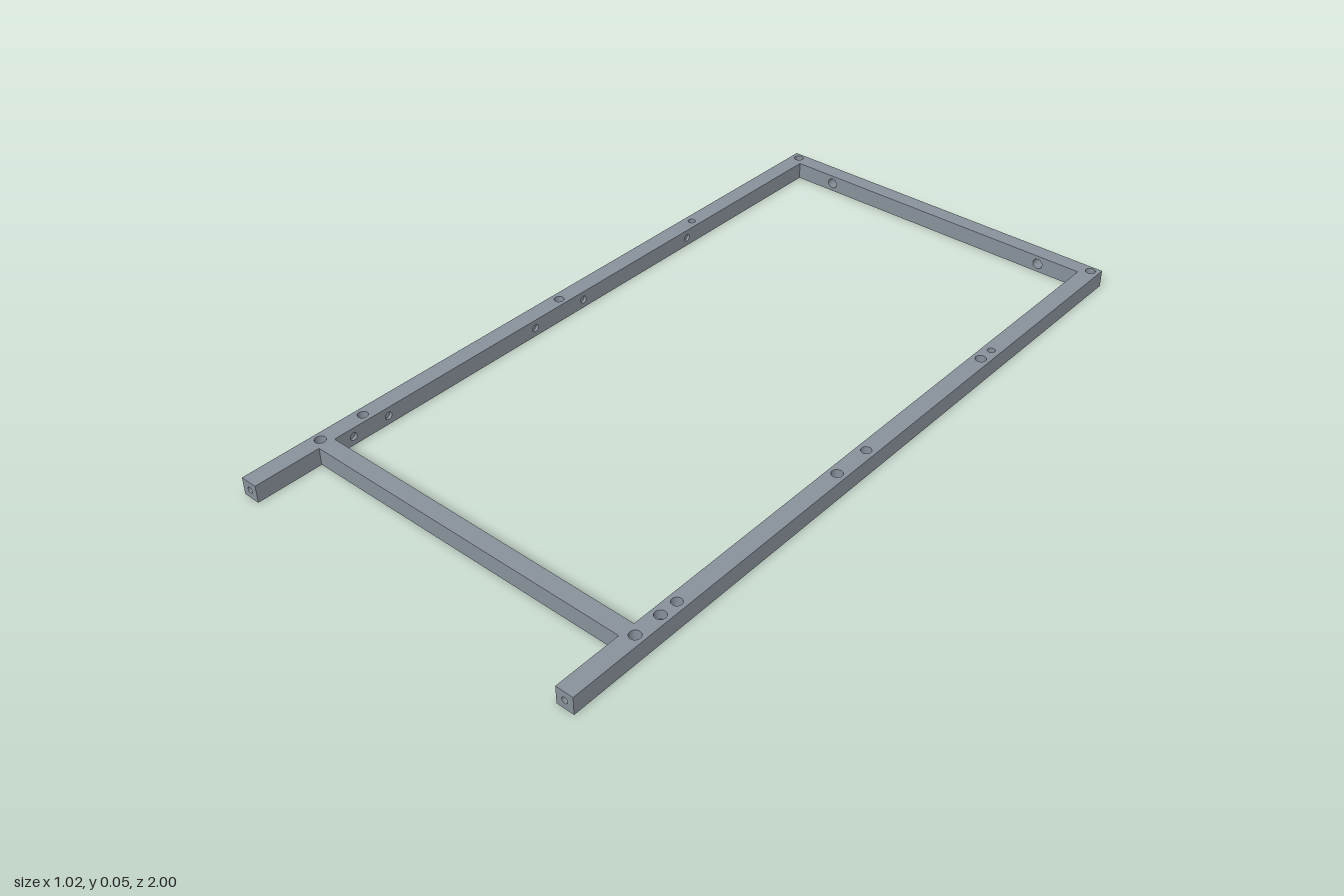
import * as THREE from 'three';
import { mergeGeometries } from 'three/addons/utils/BufferGeometryUtils.js';

const material = new THREE.MeshStandardMaterial({ color: 0x88919a, side: THREE.DoubleSide });
const H = 0.047;      // beam height
const W = 0.047;      // rail width
const BAR = 0.045;    // cross bar thickness
const RAIL_X = 0.4865;

// Rotation that turns a +z facing panel towards each side of a beam
const SIDES = {
  front: [0, 0], back: [0, Math.PI],
  right: [0, Math.PI / 2], left: [0, -Math.PI / 2],
  top: [-Math.PI / 2, 0], bottom: [Math.PI / 2, 0],
};

// One beam face with its holes; each hole is { side, at, r, depth, through }
function panel(side, size, holes) {
  const turn = new THREE.Matrix4().makeRotationFromEuler(new THREE.Euler(...SIDES[side], 0));
  const inverse = turn.clone().invert();
  const local = size.clone().applyMatrix4(inverse);
  const w = Math.abs(local.x) / 2, h = Math.abs(local.y) / 2, d = Math.abs(local.z) / 2;
  const shape = new THREE.Shape([
    new THREE.Vector2(-w, -h), new THREE.Vector2(w, -h), new THREE.Vector2(w, h), new THREE.Vector2(-w, h),
  ]);
  const parts = [];
  for (const { at, r, depth, through } of holes) {
    const p = new THREE.Vector3(...at).applyMatrix4(inverse);
    shape.holes.push(new THREE.Path().absarc(p.x, p.y, r, 0, Math.PI * 2, true));
    if (!depth) continue;
    // Hole wall with normals facing its axis, and a floor if it is blind
    const wall = new THREE.CylinderGeometry(r, r, depth, 24, 1, true).rotateX(Math.PI / 2);
    wall.scale(-1, 1, 1).translate(p.x, p.y, -depth / 2);
    const normals = wall.attributes.normal;
    for (let i = 0; i < normals.count; i++) normals.setXYZ(i, -normals.getX(i), -normals.getY(i), 0);
    parts.push(wall);
    if (!through) parts.push(new THREE.CircleGeometry(r, 24).translate(p.x, p.y, -depth));
  }
  parts.push(new THREE.ShapeGeometry(shape, 12));
  return mergeGeometries(parts).translate(0, 0, d).applyMatrix4(turn);
}

// Rectangular beam with drilled faces
function beam(name, size, position, holes = []) {
  const dims = new THREE.Vector3(...size);
  const faces = Object.keys(SIDES).map((s) => panel(s, dims, holes.filter((hole) => hole.side === s)));
  const mesh = new THREE.Mesh(mergeGeometries(faces), material);
  mesh.name = name;
  mesh.position.set(...position);
  return mesh;
}

// Hole drilled right through between two opposite sides
const drill = (side, opposite, at, r, depth) => [
  { side, at, r, depth, through: true },
  { side: opposite, at, r },
];

// Row of blind holes along one side of a rail
const blindRow = (side, positions, r, depth) => positions.map((z) => ({ side, at: [0, 0, z], r, depth }));

export function createModel() {
  const group = new THREE.Group();
  group.name = 'frame';

  // Vertical bolt holes and an end hole, shared by both rails
  const boltHoles = [[-0.98, 0.013], [-0.497, 0.01], [0.025, 0.013], [0.675, 0.013], [0.8, 0.014]]
    .flatMap(([z, r]) => drill('top', 'bottom', [0, 0, z], r, H));
  const endHole = { side: 'front', at: [0, 0, 0], r: 0.008, depth: 0.08 };

  // Blind holes: above and below on the left rail, on the inner face of the right rail
  const leftHoles = [
    ...blindRow('top', [-0.45, 0.135, 0.725], 0.014, 0.025),
    ...blindRow('bottom', [-0.05, 0.615], 0.01, 0.015),
  ];
  const innerHoles = blindRow('right', [-0.45, -0.04, 0.135, 0.62, 0.725], 0.01, 0.008);

  group.add(beam('leftRail', [W, H, 2], [RAIL_X, H / 2, 0], [...boltHoles, endHole, ...leftHoles]));
  group.add(beam('rightRail', [W, H, 2], [-RAIL_X, H / 2, 0], [...boltHoles, endHole, ...innerHoles]));

  // Cross bars between the rails; the rear one is drilled front to back
  const span = 2 * RAIL_X - W;
  const rearHoles = [-0.343, 0.343].flatMap((x) => drill('front', 'back', [x, 0, 0], 0.014, BAR));
  group.add(beam('rearCrossBar', [span, H, BAR], [0, H / 2, -1 + BAR / 2], rearHoles));
  group.add(beam('frontCrossBar', [span, H, BAR], [0, H / 2, 0.8]));
  return group;
}
